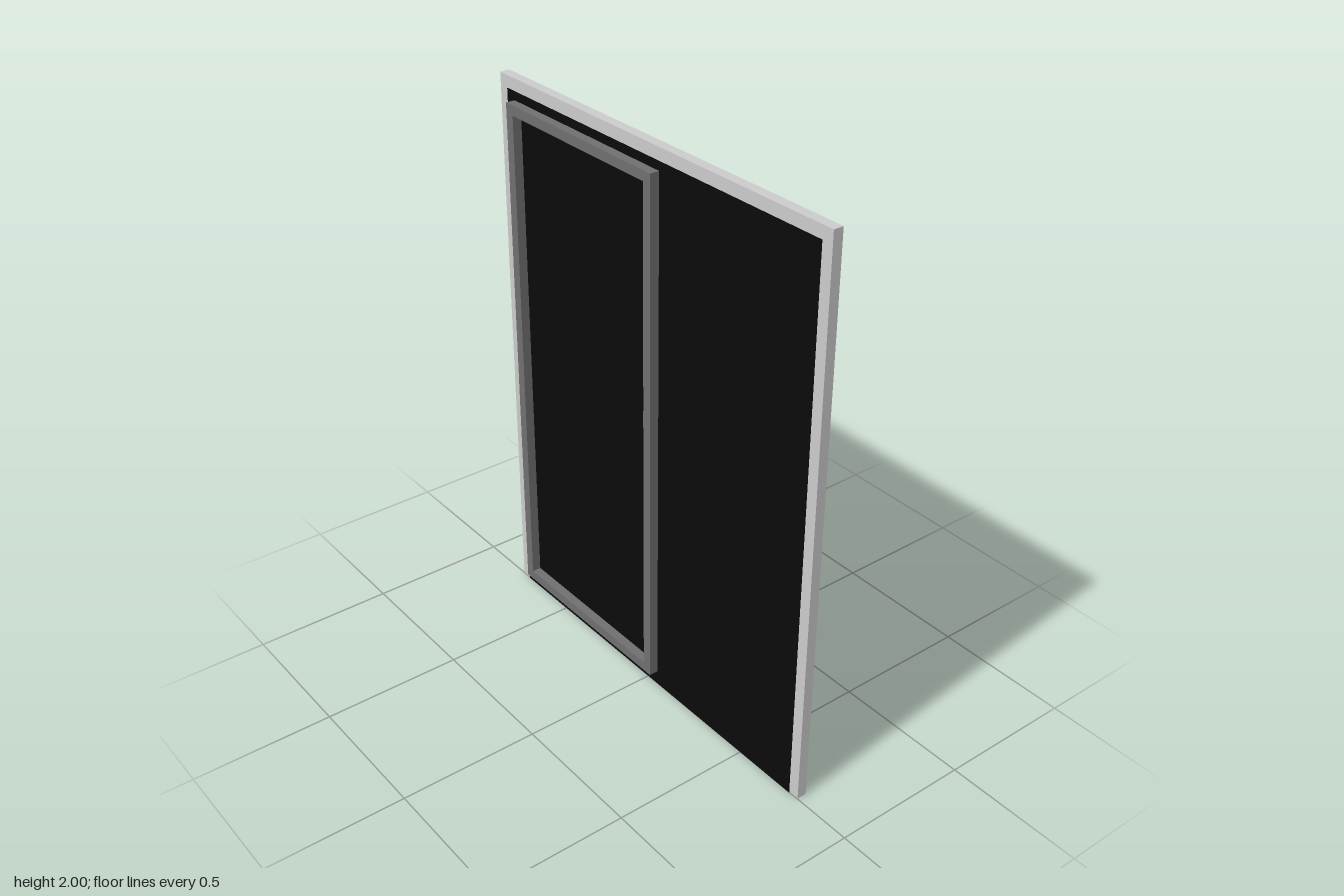
import * as THREE from 'three';

const light = new THREE.MeshStandardMaterial({ color: 0xcccccc });
const dark = new THREE.MeshStandardMaterial({ color: 0x707070 });
const black = new THREE.MeshStandardMaterial({ color: 0x0a0a0a });

// Counter-clockwise rectangle in the (-z, y) plane
function rect(Type, z0, z1, y0, y1) {
  const s = new Type();
  s.moveTo(-z1, y0).lineTo(-z0, y0).lineTo(-z0, y1).lineTo(-z1, y1).closePath();
  return s;
}

// Rectangular surround from x0 to x1; outer and inner are [z0, z1, y0, y1]
function surround(name, material, outer, inner, x0, x1) {
  const shape = rect(THREE.Shape, ...outer);
  shape.holes.push(rect(THREE.Path, ...inner));
  const geo = new THREE.ExtrudeGeometry(shape, { depth: x1 - x0, bevelEnabled: false });
  geo.rotateY(Math.PI / 2).translate(x0, 0, 0);
  const mesh = new THREE.Mesh(geo, material);
  mesh.name = name;
  return mesh;
}

function box(name, material, x0, x1, y0, y1, z0, z1) {
  const geo = new THREE.BoxGeometry(x1 - x0, y1 - y0, z1 - z0);
  geo.translate((x0 + x1) / 2, (y0 + y1) / 2, (z0 + z1) / 2);
  const mesh = new THREE.Mesh(geo, material);
  mesh.name = name;
  return mesh;
}

// Sliding sash with a small pull on its +z stile
function sash(name, material, z0, z1, x0, x1) {
  const group = new THREE.Group();
  const w = 0.035, y0 = 0.054, y1 = 1.927;
  group.name = name;
  group.add(surround(name + 'Frame', material,
    [z0, z1, y0, y1], [z0 + w, z1 - w, y0 + w, y1 - w], x0, x1));
  group.add(box(name + 'Handle', material, x0 + 0.008, x1 - 0.002, 1.04, 1.1, z1 - w - 0.013, z1 - w));
  return group;
}

export function createModel() {
  const model = new THREE.Group();
  model.name = 'slidingWindow';

  // Fixed outer frame
  model.add(surround('outerFrame', light,
    [-0.782, 0.782, 0.002, 2], [-0.705, 0.705, 0.05, 1.93], 0, 0.035));
  // Dark glazing sheet across the back of the frame
  model.add(box('glazing', black, -0.002, 0.002, 0, 1.957, -0.742, 0.742));
  // Inner sash on the frame side, outer sash behind it
  model.add(sash('innerSash', light, -0.28, 0.473, 0, 0.035));
  model.add(sash('outerSash', dark, -0.702, 0.052, -0.035, 0.006));

  return model;
}
